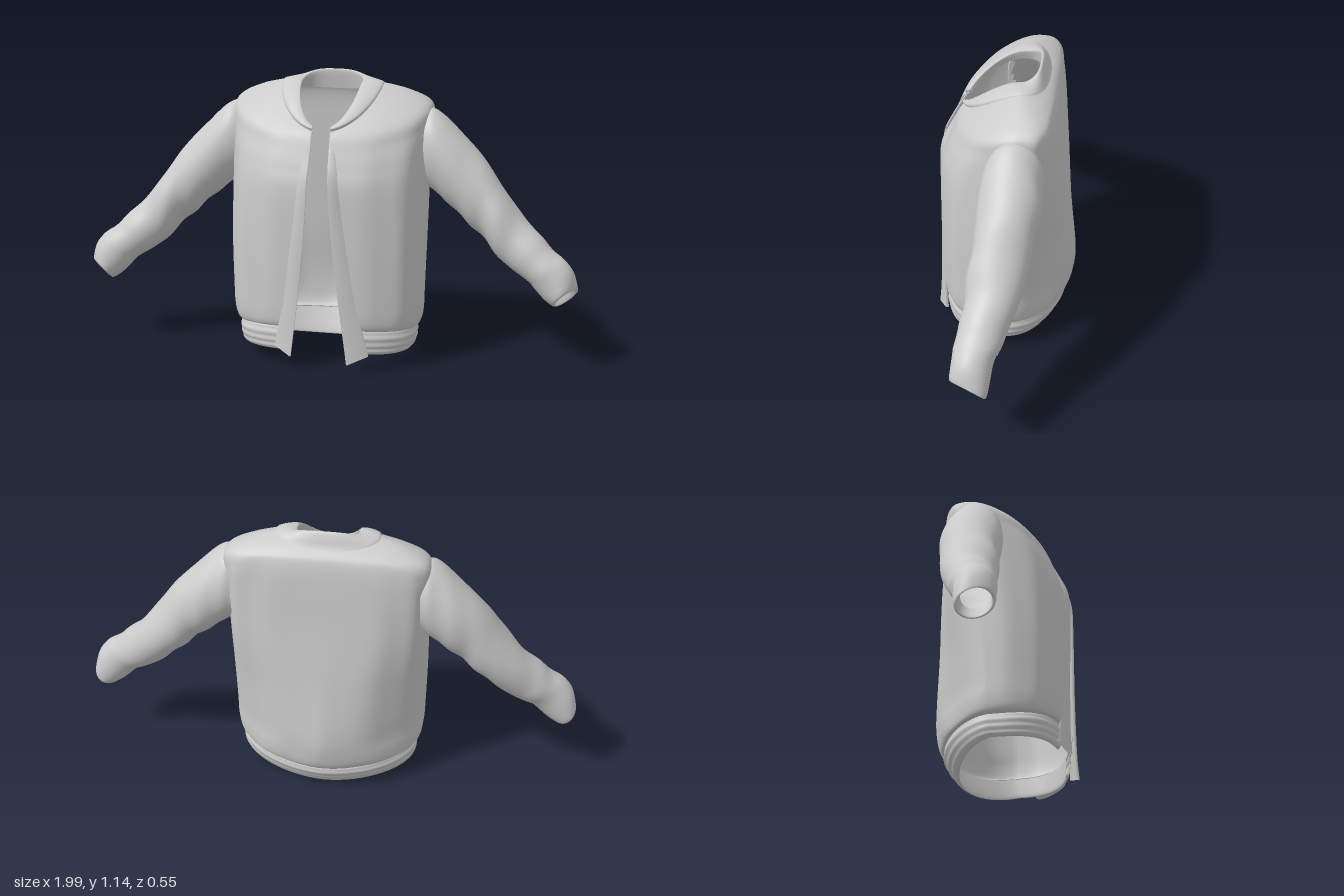
import * as THREE from 'three';
import { mergeVertices } from 'three/addons/utils/BufferGeometryUtils.js';

const cloth = new THREE.MeshStandardMaterial({ color: 0xcccccc, side: THREE.DoubleSide });

// Smoothly blends a list of number rows at t in 0..1
function sampleRows(rows, t) {
  const f = t * (rows.length - 1);
  const i = Math.min(Math.floor(f), rows.length - 2);
  const w = f - i;
  const at = (k) => rows[Math.max(0, Math.min(rows.length - 1, k))];
  return rows[i].map((b, c) => {
    const a = at(i - 1)[c], d = at(i + 1)[c], e = at(i + 2)[c];
    return b + 0.5 * w * (d - a + w * (2 * a - 5 * b + 4 * d - e + w * (3 * (b - d) + e - a)));
  });
}

// Surface through cross-sections; point(row, u, v) places each vertex, isHole leaves faces out
function loft(name, rows, nu, nv, point, isHole = () => false) {
  const points = [], index = [];
  for (let j = 0; j <= nv; j++) {
    const row = sampleRows(rows, j / nv);
    for (let i = 0; i <= nu; i++) points.push(point(row, i / nu, j / nv));
  }
  for (let j = 0; j < nv; j++) {
    for (let i = 0; i < nu; i++) {
      const a = j * (nu + 1) + i, b = a + nu + 1;
      if (!isHole(points[a])) index.push(a, a + 1, b + 1, a, b + 1, b);
    }
  }
  let geometry = new THREE.BufferGeometry();
  geometry.setAttribute('position', new THREE.Float32BufferAttribute(points.flat(), 3));
  geometry.setIndex(index);
  geometry = mergeVertices(geometry, 1e-5);
  geometry.computeVertexNormals();
  const mesh = new THREE.Mesh(geometry, cloth);
  mesh.name = name;
  return mesh;
}

// Horizontal wrap, open at the front.
// row: front y, side y, back y, half opening, half width, side z, front z, back z, front and back squareness
function wrapPoint([yF, yS, yB, open, hw, zS, zF, zB, nF, nB], u, folds = 0) {
  const start = Math.asin(Math.pow(open / hw, nF / 2));
  const angle = start + u * (2 * Math.PI - 2 * start);
  const s = Math.sin(angle), c = Math.cos(angle), k = Math.abs(c);
  const n = c > 0 ? nF : nB;
  const x = Math.sign(s) * hw * Math.pow(Math.abs(s), 2 / n);
  const z = zS + ((c > 0 ? zF : zB) - zS) * Math.pow(k, 2 / n);
  const y = yS + ((c > 0 ? yF : yB) - yS) * Math.pow(k, 1.4);
  return [x + folds * s, y, z + folds * c];
}

// The back is broad at the shoulders and tented toward the hem
const bodyRows = [
  [0.165, 0.14, 0.10, 0.115, 0.35, -0.01, 0.232, -0.23, 2.8, 1.85],
  [0.175, 0.15, 0.11, 0.11, 0.372, -0.01, 0.243, -0.25, 2.8, 1.8],
  [0.21, 0.20, 0.16, 0.10, 0.383, -0.01, 0.25, -0.268, 2.8, 1.7],
  [0.30, 0.29, 0.27, 0.085, 0.386, -0.01, 0.253, -0.277, 2.8, 1.65],
  [0.50, 0.50, 0.50, 0.06, 0.39, -0.02, 0.254, -0.252, 2.8, 2.1],
  [0.72, 0.72, 0.75, 0.047, 0.39, -0.04, 0.252, -0.226, 2.6, 3.2],
  [0.81, 0.86, 0.90, 0.042, 0.392, -0.06, 0.232, -0.214, 2.5, 3.7],
  [0.88, 0.95, 0.99, 0.04, 0.398, -0.08, 0.208, -0.206, 2.3, 3.7],
  [0.92, 1.025, 1.04, 0.04, 0.39, -0.09, 0.192, -0.196, 2.2, 3.3],
  [0.94, 1.075, 1.063, 0.04, 0.30, -0.085, 0.18, -0.182, 2.1, 2.7],
  [0.95, 1.103, 1.078, 0.04, 0.20, -0.07, 0.168, -0.163, 2, 2.3],
];

const ribRows = [
  [0.168, 0.14, 0.10, 0.14, 0.35, -0.01, 0.232, -0.235, 2.8, 1.85],
  [0.145, 0.12, 0.08, 0.14, 0.36, -0.01, 0.24, -0.24, 2.8, 1.85],
  [0.115, 0.095, 0.05, 0.14, 0.36, -0.01, 0.24, -0.226, 2.8, 1.85],
  [0.09, 0.07, 0.025, 0.14, 0.355, -0.01, 0.238, -0.207, 2.8, 1.85],
  [0.07, 0.055, 0.002, 0.14, 0.345, 0, 0.233, -0.187, 2.8, 1.85],
  [0.075, 0.06, 0.008, 0.14, 0.335, 0, 0.223, -0.177, 2.8, 1.85],
  [0.16, 0.135, 0.10, 0.14, 0.342, -0.01, 0.224, -0.222, 2.8, 1.85],
];

const collarRows = [
  [0.945, 1.095, 1.072, 0.04, 0.205, -0.07, 0.17, -0.168, 2, 2.3],
  [0.955, 1.108, 1.09, 0.038, 0.197, -0.066, 0.178, -0.156, 2, 2.4],
  [0.96, 1.115, 1.117, 0.037, 0.16, -0.058, 0.176, -0.145, 2.1, 2.7],
  [0.962, 1.112, 1.139, 0.036, 0.128, -0.05, 0.168, -0.133, 2.2, 3],
  [0.96, 1.104, 1.13, 0.036, 0.119, -0.05, 0.16, -0.124, 2.3, 3],
  [0.95, 1.07, 1.06, 0.036, 0.128, -0.05, 0.152, -0.135, 2.4, 3],
];

// Sleeve rings: upper edge x y, lower edge x y, centre z, half depth, forward tilt
const sleeveRows = [
  [0.365, 1.00, 0.37, 0.71, -0.065, 0.105, 0],
  [0.41, 1.008, 0.40, 0.69, -0.062, 0.115, 0],
  [0.50, 0.935, 0.46, 0.64, -0.056, 0.118, 0],
  [0.60, 0.825, 0.535, 0.58, -0.046, 0.115, 0],
  [0.68, 0.72, 0.605, 0.515, -0.033, 0.109, 0],
  [0.765, 0.61, 0.675, 0.44, -0.015, 0.10, 0],
  [0.85, 0.52, 0.745, 0.39, 0.007, 0.092, 0],
  [0.915, 0.465, 0.815, 0.345, 0.028, 0.083, 0],
];

const cuffRows = [
  [0.912, 0.468, 0.81, 0.348, 0.028, 0.082, 0],
  [0.942, 0.447, 0.835, 0.32, 0.035, 0.076, 0.004],
  [0.975, 0.405, 0.87, 0.285, 0.04, 0.074, 0.012],
  [0.99, 0.35, 0.905, 0.262, 0.045, 0.071, 0.018],
  [0.985, 0.338, 0.912, 0.268, 0.045, 0.058, 0.018],
  [0.93, 0.39, 0.86, 0.32, 0.04, 0.054, 0.01],
];

function ringPoint([ux, uy, lx, ly, zc, zr, tilt], angle, side, bulge) {
  const c = Math.cos(angle) * (1 + bulge) / 2, s = Math.sin(angle) * (1 + bulge);
  return [side * ((ux + lx) / 2 + c * (ux - lx) - tilt * s), (uy + ly) / 2 + c * (uy - ly) + tilt * s, zc + s * zr];
}

// Front facings: y, inner x, outer x, inner z, outer z, outer edge lift
const placketRows = [
  [0.95, 0.036, 0.05, 0.172, 0.169, 0],
  [0.86, 0.038, 0.065, 0.222, 0.214, 0],
  [0.76, 0.043, 0.08, 0.262, 0.246, 0],
  [0.60, 0.052, 0.10, 0.266, 0.253, 0],
  [0.40, 0.072, 0.13, 0.264, 0.25, 0],
  [0.25, 0.09, 0.155, 0.264, 0.246, 0],
  [0.12, 0.108, 0.185, 0.266, 0.24, 0.01],
  [0.035, 0.12, 0.20, 0.272, 0.236, 0.03],
];

export function createModel() {
  const jacket = new THREE.Group();
  jacket.name = 'jacket';

  // Body with soft vertical folds, drapes across the back and open armholes
  const armhole = ([x, y, z]) => Math.abs(x) > 0.33 && Math.hypot((y - 0.855) / 0.125, (z + 0.065) / 0.085) < 1;
  jacket.add(loft('body', bodyRows, 144, 80, (row, u, v) => {
    const fade = Math.sin(Math.PI * Math.min(1, v * 1.15));
    const d = Math.abs(u - 0.5);
    const drape = d < 0.24 ? 0.004 * Math.sin(d * 60 + v * 9) * Math.sin(d / 0.24 * Math.PI) : 0;
    const frontFold = d > 0.26 ? 0.003 * Math.sin(d * 70 + v * 2) * Math.min(1, (0.5 - d) * 15) : 0;
    return wrapPoint(row, u, fade * (drape + frontFold));
  }, armhole));

  // Ribbed waistband, turned inward at the hem
  jacket.add(loft('waistband', ribRows, 120, 36, (row, u, v) =>
    wrapPoint(row, u, v < 0.6 ? 0.0015 * Math.sin(v * 36) : 0)));

  // Band collar with an inner face
  jacket.add(loft('collar', collarRows, 96, 25, (row, u) => wrapPoint(row, u)));

  for (const side of [1, -1]) {
    const label = side > 0 ? 'left' : 'right';

    // Sleeve with crumpled folds that fade toward the shoulder
    jacket.add(loft(label + 'Sleeve', sleeveRows, 48, 70, (row, u, v) => {
      const a = u * Math.PI * 2;
      const fade = Math.min(1, v * 2.5) * Math.min(1, (1 - v) * 8);
      const bulge = 0.035 * Math.sin(v * 30 + 2 * Math.sin(a + 0.6)) * (0.5 + 0.5 * Math.cos(a + v * 7))
        + 0.025 * Math.sin(v * 17 - 2 * a);
      return ringPoint(row, a, side, fade * bulge);
    }));

    // Cuff with an inner lip, its opening turned slightly forward
    jacket.add(loft(label + 'Cuff', cuffRows, 48, 20, (row, u) =>
      ringPoint(row, u * Math.PI * 2, side, 0)));

    // Front facing, a thin closed section lying on the body and covering the waistband end
    jacket.add(loft(label + 'Placket', placketRows, 4, 40, ([y, xi, xo, zi, zo, rise], u, v) => {
      const corner = Math.round(u * 4) % 4;
      const outer = corner === 1 || corner === 2;
      const x = (outer ? xo : xi) * (side < 0 ? 1 - 0.12 * v : 1);
      const lift = (outer ? rise : 0) + (side < 0 ? 0.02 * v * v : 0);
      return [side * x, y + lift, (outer ? zo : zi) - (corner > 1 ? 0.012 : 0)];
    }));
  }
  return jacket;
}
